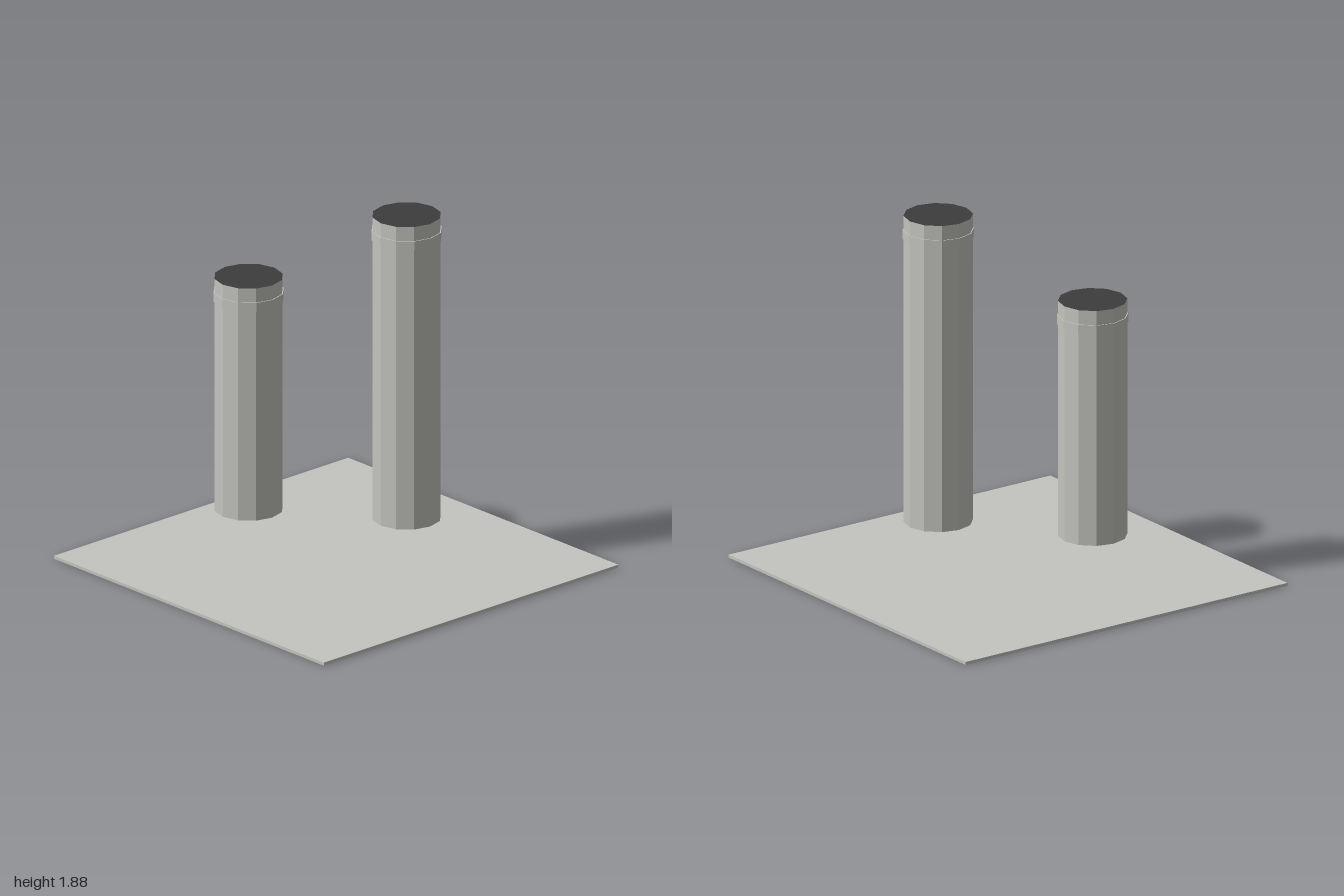
import * as THREE from 'three';

const concrete = new THREE.MeshStandardMaterial({ color: 0xc4c4bf, flatShading: true });
concrete.name = 'pale concrete grey';
const soot = new THREE.MeshStandardMaterial({ color: 0x3d3d3d, flatShading: true });
soot.name = 'dark soot grey';

const SIDES = 12;
const BOTTOM = 0.253;

// A twelve-sided stack with a dark top and a thin raised band below its rim
function makeStack(name, x, z, top) {
  const stack = new THREE.Group();
  stack.name = name;
  stack.position.set(x, 0, z);

  const height = top - BOTTOM;
  const shaft = new THREE.Mesh(
    new THREE.CylinderGeometry(0.175, 0.175, height, SIDES),
    [concrete, soot, concrete], // side, top, bottom
  );
  shaft.name = 'shaft';
  shaft.position.y = BOTTOM + height / 2;

  const band = new THREE.Mesh(new THREE.CylinderGeometry(0.18, 0.18, 0.047, SIDES), concrete);
  band.name = 'rimBand';
  band.position.y = top - 0.099;

  stack.add(shaft, band);
  return stack;
}

export function createModel() {
  const model = new THREE.Group();
  model.name = 'twoStacks';

  // Thin square ground slab
  const slab = new THREE.Mesh(new THREE.BoxGeometry(2, 0.016, 2), concrete);
  slab.name = 'baseSlab';
  slab.position.y = 0.008;

  model.add(
    slab,
    makeStack('tallStack', 0.25, 0.25, 1.878),
    makeStack('shortStack', -0.25, -0.375, 1.5),
  );
  return model;
}
